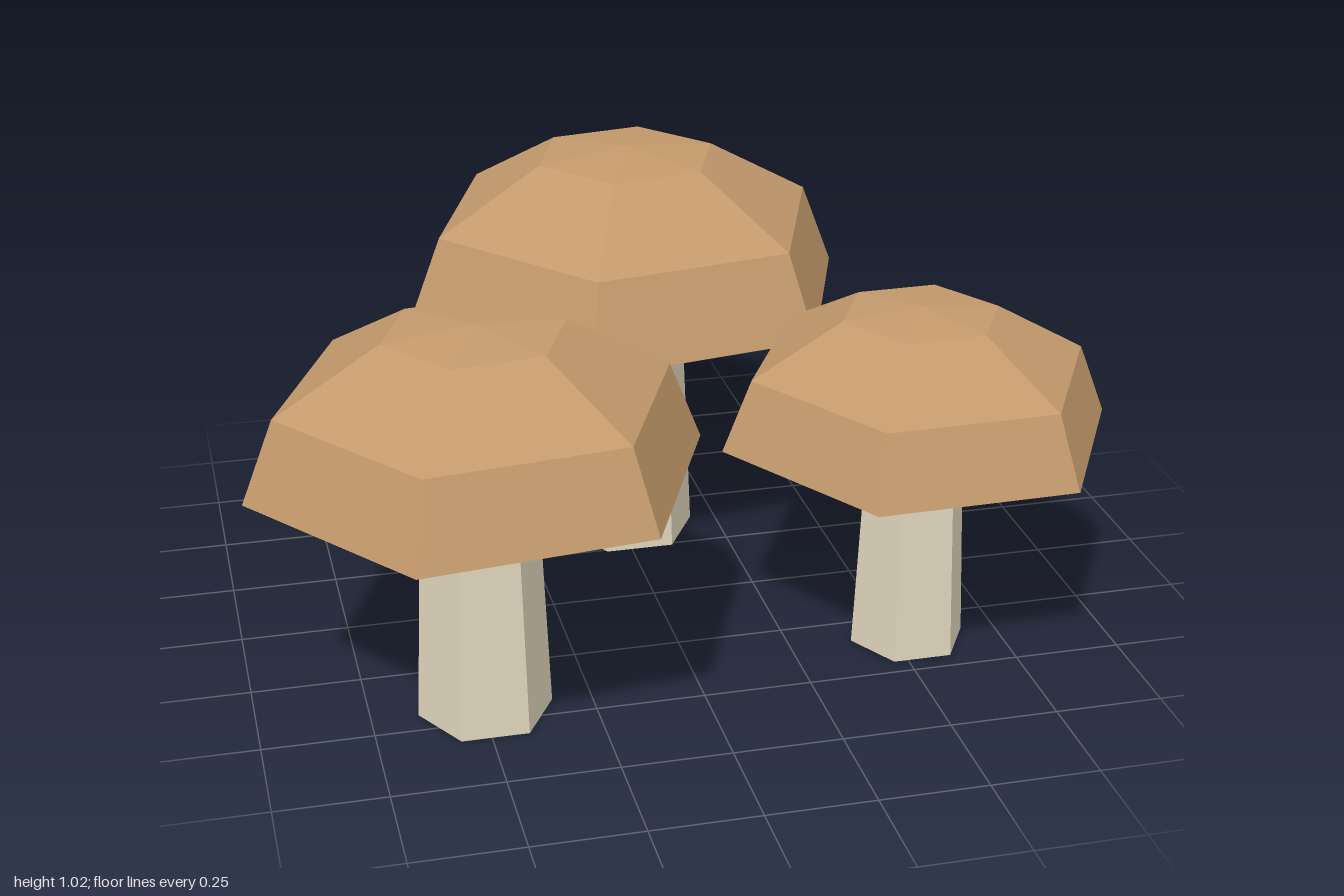
import * as THREE from 'three';

const capBrown = new THREE.MeshStandardMaterial({ color: 0xc49a6c, flatShading: true });
capBrown.name = 'capBrown';
const stemCream = new THREE.MeshStandardMaterial({ color: 0xe0d5bc, flatShading: true });
stemCream.name = 'stemCream';

const SIDES = 6;

// Six-sided solid of revolution from [radius, height] pairs, listed bottom to top, with a corner on +x
function hexLathe(name, profile, material) {
  const points = profile.map(([r, y]) => new THREE.Vector2(r, y));
  const mesh = new THREE.Mesh(new THREE.LatheGeometry(points, SIDES, Math.PI / 6), material);
  mesh.name = name;
  return mesh;
}

function createMushroom(name, x, z, scale, capTurn) {
  const mushroom = new THREE.Group();
  mushroom.name = name;

  // Tapered stem with a closed foot
  const stem = hexLathe('stem', [[0, 0], [0.167, 0], [0.141, 0.61]], stemCream);

  // Faceted dome and its shallow pale underside
  const cap = new THREE.Group();
  cap.name = 'cap';
  cap.rotation.y = THREE.MathUtils.degToRad(capTurn);
  cap.add(
    hexLathe('capTop', [[0.562, 0.65], [0.482, 0.852], [0.225, 1.0], [0, 1.022]], capBrown),
    hexLathe('capUnderside', [[0, 0.6], [0.125, 0.6], [0.562, 0.65]], stemCream)
  );

  mushroom.add(stem, cap);
  mushroom.position.set(x, 0, z);
  mushroom.scale.setScalar(scale);
  return mushroom;
}

export function createModel() {
  const model = new THREE.Group();
  model.name = 'mushroomCluster';
  model.add(
    createMushroom('largeMushroom', 0.021, -0.385, 1, 9.7),
    createMushroom('mediumMushroom', -0.492, 0.436, 0.911, 6.7),
    createMushroom('smallMushroom', 0.535, 0.336, 0.819, 1.4)
  );
  return model;
}
